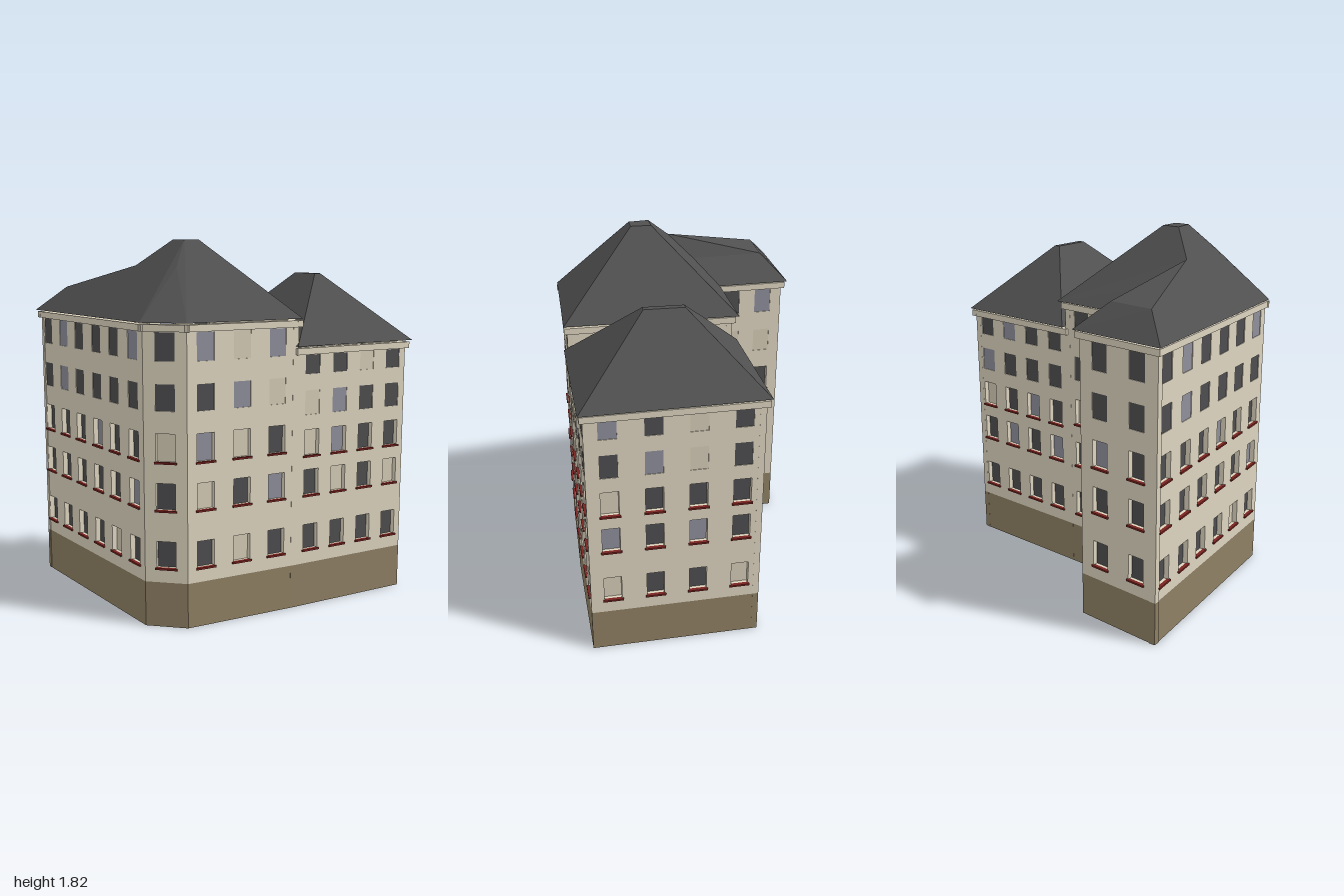
import * as THREE from 'three';

const mat = (name, color, side = THREE.FrontSide) => {
  const m = new THREE.MeshStandardMaterial({ color, side });
  m.name = name;
  return m;
};

export function createModel() {
  const plaster = mat('cream plaster', 0xded5c0);
  const stone = mat('brown plinth', 0x8f8064);
  const slate = mat('dark slate', 0x505050, THREE.DoubleSide);
  const darkGlass = mat('dark glass', 0x4e4e50, THREE.DoubleSide);
  const paleGlass = mat('grey glass', 0x8f8f9c, THREE.DoubleSide);
  const blind = mat('cream blind', 0xd6ccb6, THREE.DoubleSide);
  const sillRed = mat('red sill', 0x7a2420);
  const model = new THREE.Group();
  model.name = 'cornerHouse';

  let seed = 11;
  const rand = () => (seed = (seed * 16807) % 2147483647) / 2147483647;
  const add = (parent, name, geometry, material, x = 0, y = 0, z = 0) => {
    const m = new THREE.Mesh(geometry, material);
    m.name = name;
    m.position.set(x, y, z);
    parent.add(m);
    return m;
  };

  const T = 0.03, PLINTH = 0.22;
  const rect = (Kind, x0, x1, y0, y1) => new Kind([[x0, y0], [x1, y0], [x1, y1], [x0, y1]]
    .map(p => new THREE.Vector2(...p)));

  // One facade from ground point a to b (outside on the local +z side)
  function facade(name, a, b, top, rows, columns, width) {
    const dx = b[0] - a[0], dz = b[1] - a[1], len = Math.hypot(dx, dz);
    const g = new THREE.Group();
    g.name = name;
    g.position.set(a[0], 0, a[1]);
    g.rotation.y = Math.atan2(-dz, dx);
    model.add(g);

    add(g, 'plinth', new THREE.BoxGeometry(len, PLINTH, T), stone, len / 2, PLINTH / 2, -T / 2);
    const shape = rect(THREE.Shape, 0, len, PLINTH, top);
    rows.forEach(([y0, y1], floor) => columns.forEach(t => {
      const cx = t * len, h = y1 - y0, cy = (y0 + y1) / 2;
      shape.holes.push(rect(THREE.Path, cx - width / 2, cx + width / 2, y0, y1));
      // Lower panes sit deep in the wall, upper ones almost flush
      const r = rand();
      const pane = r < 0.62 ? darkGlass : r < 0.84 ? paleGlass : blind;
      add(g, 'windowPane', new THREE.PlaneGeometry(width, h), pane, cx, cy, floor < 3 ? -0.026 : -0.003);
      if (floor < 3) {
        add(g, 'windowSill', new THREE.BoxGeometry(width + 0.014, 0.009, 0.018), sillRed, cx, y0 - 0.003, 0);
      }
    }));
    const wall = new THREE.ExtrudeGeometry(shape, { depth: T, bevelEnabled: false });
    add(g, 'wall', wall, plaster, 0, 0, -T);
    add(g, 'cornice', new THREE.BoxGeometry(len + 0.03, 0.032, 0.03), plaster, len / 2, top - 0.016, 0);
  }

  // Ground plan corners [x, z]
  const A = [-0.967, -0.01], G = [-0.207, 0.715], F = [0, 0.715], E = [0.465, 0.345];
  const I = [0.965, -0.08], H = [0.43, -0.712], D = [-0.06, -0.285], C = [-0.38, -0.012], B = [-0.625, -0.295];

  const mainRows = [[0.29, 0.42], [0.57, 0.70], [0.80, 0.935], [1.04, 1.165], [1.27, 1.402]];
  const eastRows = [[0.29, 0.42], [0.57, 0.70], [0.77, 0.90], [0.975, 1.095], [1.175, 1.268]];
  const MAIN = 1.437, EAST = 1.303;
  const four = [0.13, 0.38, 0.63, 0.88];

  facade('frontLeftFacade', A, G, MAIN, mainRows, [0.072, 0.243, 0.408, 0.579, 0.743, 0.914], 0.087);
  facade('cornerFacade', G, F, MAIN, mainRows, [0.5], 0.093);
  facade('frontRightFacade', F, E, MAIN, mainRows, [0.16, 0.484, 0.806], 0.09);
  facade('partyWall', E, D, MAIN, [], [], 0);
  facade('courtFacade', D, C, MAIN, mainRows, [0.25, 0.74], 0.09);
  facade('courtSideFacade', C, B, MAIN, mainRows, [0.27, 0.73], 0.087);
  facade('wingEndFacade', B, A, MAIN, mainRows, [0.26, 0.74], 0.087);
  facade('eastFrontFacade', E, I, EAST, eastRows, four, 0.085);
  facade('eastSideFacade', I, H, EAST, eastRows, four, 0.085);
  facade('eastBackFacade', H, D, EAST, eastRows, four, 0.085);

  // Roof built from named points and planar faces, each fanned from its first point
  function roof(name, points, faces) {
    const pos = [];
    for (const face of faces) {
      const p = face.split(' ').map(k => points[k]);
      for (let i = 1; i < p.length - 1; i++) pos.push(...p[0], ...p[i], ...p[i + 1]);
    }
    const geo = new THREE.BufferGeometry();
    geo.setAttribute('position', new THREE.Float32BufferAttribute(pos, 3));
    geo.computeVertexNormals();
    add(model, name, geo, slate);
  }

  const e = 1.445, m = 1.57, k = 1.69, t = 1.815;
  roof('mainRoof', {
    a: [-1, e, -0.01], g: [-0.215, e, 0.732], f: [0.005, e, 0.735], e: [0.485, e, 0.35],
    d: [-0.06, e, -0.325], c: [-0.38, e, -0.05], b: [-0.625, e, -0.33],
    r1: [-0.82, m, -0.01], r2: [-0.64, m, -0.155], v: [-0.39, m, 0.12],
    q: [-0.36, k, 0.26], p: [-0.1, k, 0.48],
    t1: [-0.17, t, 0.265], t2: [-0.1, t, 0.205], t3: [-0.035, t, 0.285], t4: [-0.095, t, 0.335],
  }, [
    'g p t4 t1 q r1 a', 'g f p', 'f e t3 t4 p', 'e d t2 t3', 'd c v q t1 t2',
    'c b r2 v', 'b a r1 r2', 'r1 q r2', 'r2 q v', 't1 t4 t3 t2',
  ]);

  const y = 1.312, s = 1.645;
  roof('eastRoof', {
    e: [0.465, y, 0.37], i: [1, y, -0.08], h: [0.43, y, -0.742], d: [-0.075, y, -0.305],
    s1: [0.375, s, -0.255], s2: [0.4, s, -0.275], s3: [0.52, s, -0.125], s4: [0.495, s, -0.105],
  }, ['e i s3 s4', 'i h s2 s3', 'h d s1 s2', 'd e s4 s1', 's1 s4 s3 s2']);

  return model;
}
